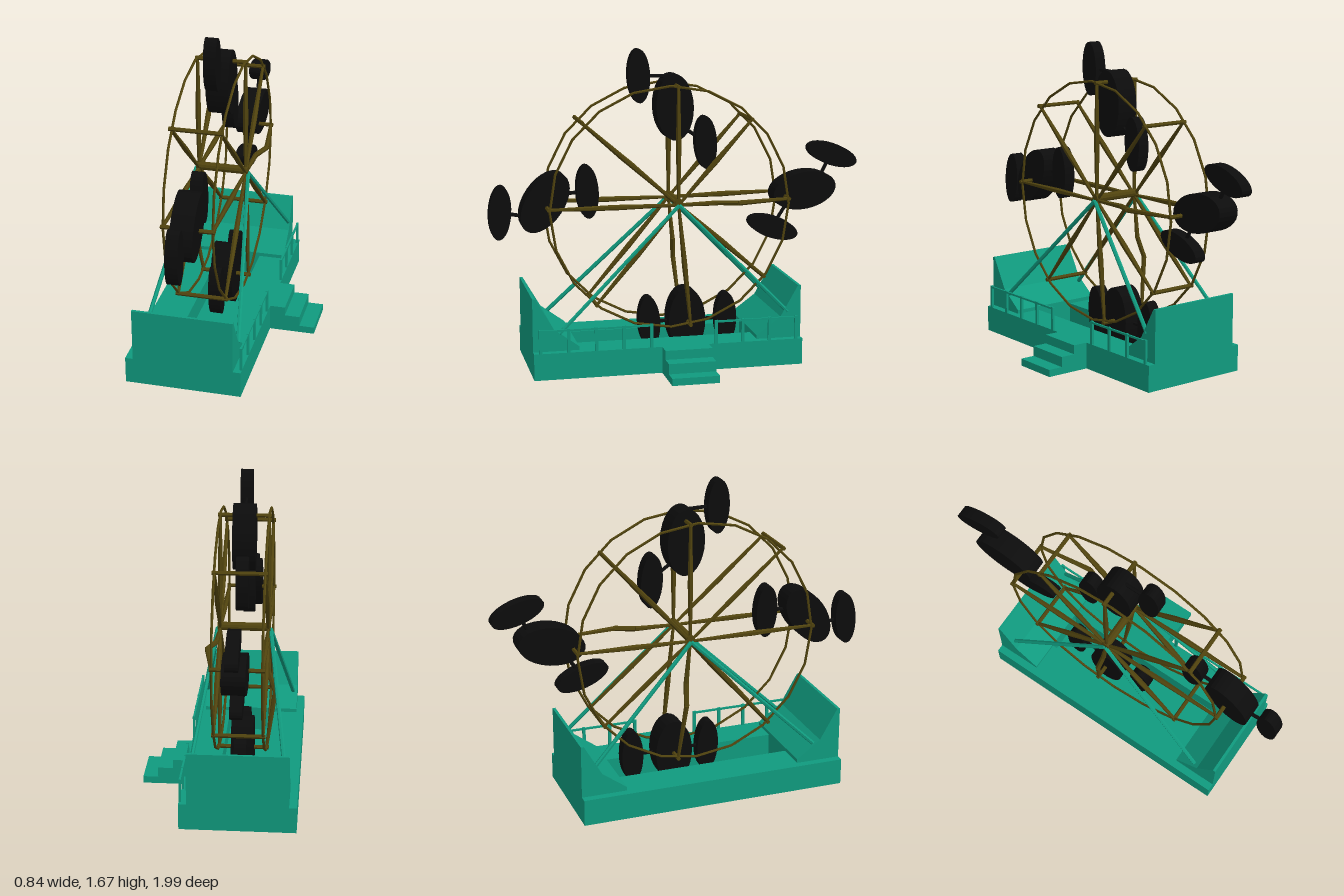
import * as THREE from 'three';

const teal = new THREE.MeshStandardMaterial({ color: 0x109a7e, flatShading: true });
const olive = new THREE.MeshStandardMaterial({ color: 0x50430e, flatShading: true });
const black = new THREE.MeshStandardMaterial({ color: 0x0c0c0c, flatShading: true });

const MID_X = -0.112;             // centre plane of the wheel
const SIDES = [-0.238, 0.014];    // the two rim planes
const HUB = [0.855, 0.015];       // y, z of the axle

function add(parent, name, geometry, material) {
  const mesh = new THREE.Mesh(geometry, material);
  mesh.name = name;
  parent.add(mesh);
  return mesh;
}

// box given by its low and high corners
function block(parent, name, [x0, y0, z0], [x1, y1, z1], material = teal) {
  const mesh = add(parent, name, new THREE.BoxGeometry(x1 - x0, y1 - y0, z1 - z0), material);
  mesh.position.set((x0 + x1) / 2, (y0 + y1) / 2, (z0 + z1) / 2);
  return mesh;
}

// rod between two points; the radius may differ at each end
function rod(parent, name, from, to, r0, r1, material, sides = 6) {
  const a = new THREE.Vector3(...from), b = new THREE.Vector3(...to);
  const dir = b.clone().sub(a);
  const mesh = add(parent, name, new THREE.CylinderGeometry(r1, r0, dir.length(), sides), material);
  mesh.position.copy(a).add(b).multiplyScalar(0.5);
  mesh.quaternion.setFromUnitVectors(new THREE.Vector3(0, 1, 0), dir.normalize());
  return mesh;
}

function buildBase() {
  const base = new THREE.Group();
  base.name = 'base';
  // deck around a sunken wheel pit
  block(base, 'pitFloor', [-0.42, 0, -0.62], [0.18, 0.025, 0.81]);
  block(base, 'rightDeck', [-0.42, 0.025, -0.62], [-0.22, 0.14, 0.81]);
  block(base, 'leftDeck', [0, 0.025, -0.62], [0.18, 0.14, 0.81]);
  block(base, 'backDeck', [-0.22, 0.025, -0.62], [0, 0.14, -0.38]);
  block(base, 'frontDeck', [-0.22, 0.025, 0.57], [0, 0.14, 0.81]);

  // sloping end walls, mirrored about the deck centre
  for (const s of [1, -1]) {
    const profile = [[0.715, 0.14], [0.715, 0.42], [0.7, 0.42], [0.605, 0.255], [0.475, 0.16], [0.475, 0.14]];
    const shape = new THREE.Shape(profile.map(([z, y]) => new THREE.Vector2(-(0.095 + s * z), y)));
    const wall = new THREE.ExtrudeGeometry(shape, { depth: 0.52, bevelEnabled: false });
    wall.rotateY(Math.PI / 2).translate(-0.38, 0, 0);
    add(base, s > 0 ? 'frontWall' : 'backWall', wall, teal);
  }

  // boarding steps
  [[0.26, 0.14], [0.34, 0.092], [0.42, 0.038]].forEach(([x, y], i) =>
    block(base, 'step', [0.18 + i * 0.08, 0, -0.11], [x, y, 0.14]));

  // handrails either side of the steps
  for (const [start, count] of [[0.195, 5], [-0.585, 4]]) {
    for (let i = 0; i < count; i++) {
      const z = start + i * 0.145;
      block(base, 'railPost', [0.168, 0.14, z - 0.008], [0.18, 0.265, z + 0.008]);
    }
    block(base, 'handrail', [0.169, 0.252, start], [0.179, 0.262, start + (count - 1) * 0.145]);
  }

  // struts carrying the axle
  for (const s of [1, -1]) {
    for (const [y, z] of [[0.23, 0.67], [0.28, -0.55]]) {
      rod(base, 'strut', [MID_X + s * 0.14, ...HUB], [MID_X + s * 0.245, y, z], 0.011, 0.011, teal);
    }
  }
  return base;
}

// y, z of the eight spoke tips
const TIPS = [[1.475, 0.015], [1.3, 0.52], [0.855, 0.7], [0.34, 0.455],
  [0.205, -0.05], [0.45, -0.45], [0.865, -0.585], [1.295, -0.38]];

function buildWheel() {
  const wheel = new THREE.Group();
  wheel.name = 'wheel';
  rod(wheel, 'axle', [-0.25, 0.868, 0.015], [0.028, 0.868, 0.015], 0.022, 0.022, olive, 10);

  SIDES.forEach((x, side) => {
    const rim = add(wheel, 'rim', new THREE.TorusGeometry(0.64, 0.007, 5, 20), olive);
    rim.rotation.y = Math.PI / 2;
    rim.position.set(x, 0.84, 0.055);

    TIPS.forEach(([y, z], i) => {
      const at = (t, dx = 0) => [x + dx, HUB[0] + (y - HUB[0]) * t, HUB[1] + (z - HUB[1]) * t];
      // two spokes are buckled outwards
      const bent = (side === 0 && i === 4) ? -0.042 : (side === 1 && i === 6) ? 0.042 : 0;
      if (bent) {
        rod(wheel, 'bentSpoke', at(0), at(0.35, bent * 0.1), 0.009, 0.014, olive);
        rod(wheel, 'bentSpoke', at(0.35, bent * 0.1), at(0.52, bent), 0.014, 0.014, olive);
        rod(wheel, 'bentSpoke', at(0.52, bent), at(1), 0.014, 0.009, olive);
      } else {
        rod(wheel, 'spoke', at(0), at(0.5), 0.008, 0.015, olive);
        rod(wheel, 'spoke', at(0.5), at(1), 0.015, 0.008, olive);
      }
    });
  });

  // bars joining the two rims
  for (const [y, z] of TIPS) rod(wheel, 'crossbar', [-0.25, y, z], [0.026, y, z], 0.011, 0.011, olive);
  return wheel;
}

// oval disc facing sideways, tilted about x
function disc(parent, name, y, z, long, short, width, degrees) {
  const geometry = new THREE.CylinderGeometry(1, 1, width, 28).rotateZ(Math.PI / 2);
  const mesh = add(parent, name, geometry, black);
  mesh.position.set(MID_X, y, z);
  mesh.scale.set(1, long, short);
  mesh.rotation.x = THREE.MathUtils.degToRad(degrees);
}

// body: y, z, tilt; pods: y, z, tilt and the y, z where the arm meets the body
const CARS = [
  { body: [1.36, 0.018, 2], pods: [[1.525, 0.203, 2, 1.52, 0.04], [1.165, -0.157, 3, 1.26, -0.02]] },
  { body: [0.88, 0.708, -35], pods: [[0.83, 0.94, -4, 0.8, 0.78], [0.925, 0.48, 3, 0.915, 0.62]] },
  { body: [0.893, -0.695, -80], pods: [[1.078, -0.858, -109, 0.95, -0.79], [0.692, -0.53, -109, 0.83, -0.62]] },
  { body: [0.21, -0.047, 0], pods: [[0.205, 0.153, 3, 0.2, 0], [0.205, -0.268, 0, 0.2, -0.1]] },
];

function buildCar({ body, pods }) {
  const car = new THREE.Group();
  car.name = 'car';
  disc(car, 'carBody', body[0], body[1], 0.175, 0.1, 0.118, body[2]);
  for (const [y, z, tilt, ay, az] of pods) {
    disc(car, 'carPod', y, z, 0.142, 0.058, 0.064, tilt);
    rod(car, 'carArm', [MID_X, ay, az], [MID_X, y, z], 0.01, 0.01, black);
  }
  return car;
}

export function createModel() {
  const model = new THREE.Group();
  model.name = 'ferrisWheel';
  model.add(buildBase(), buildWheel(), ...CARS.map(buildCar));
  return model;
}
